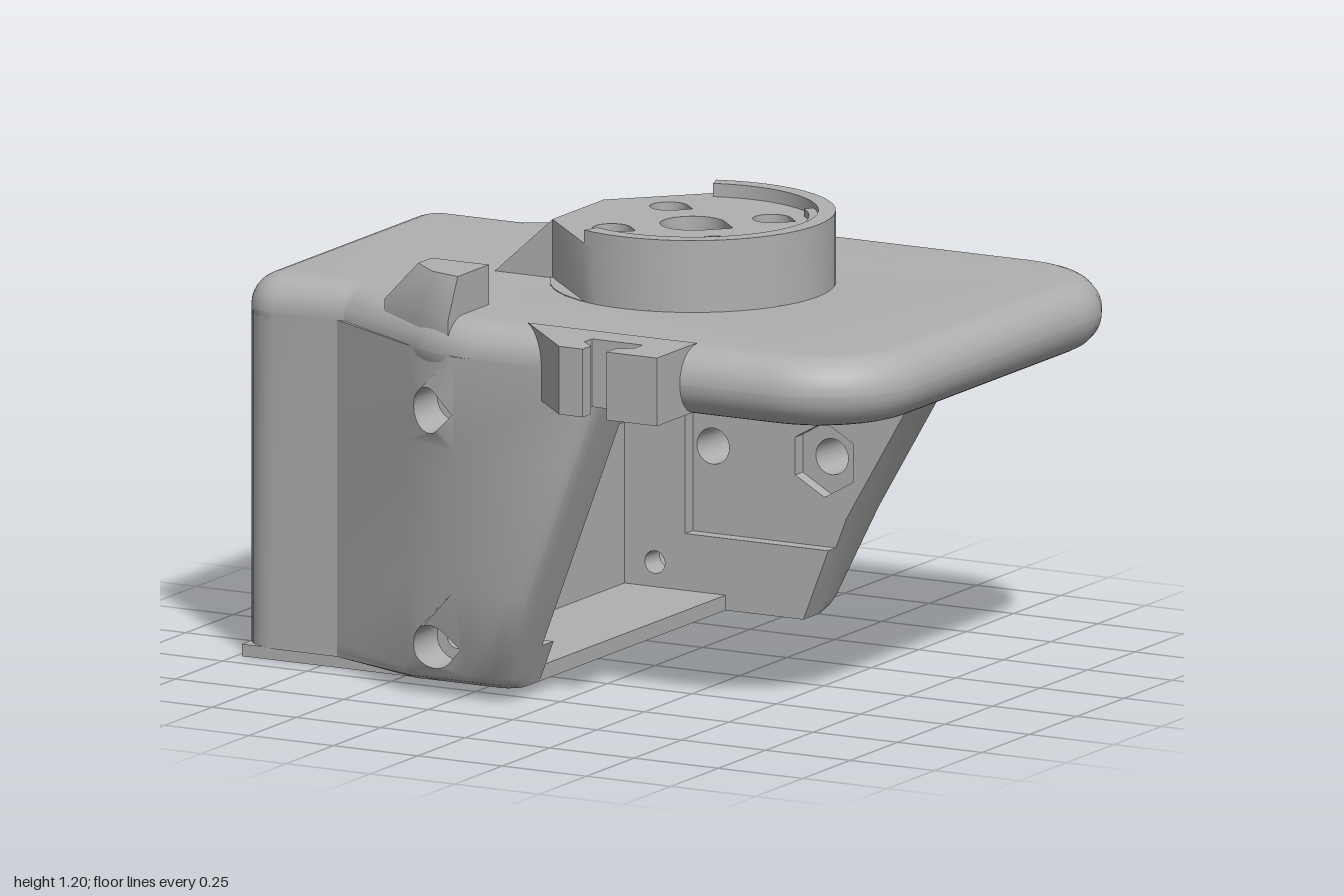
import * as THREE from 'three';
import { mergeGeometries, toCreasedNormals } from 'three/addons/utils/BufferGeometryUtils.js';
import { ConvexGeometry } from 'three/addons/geometries/ConvexGeometry.js';

const V2 = (x, y) => new THREE.Vector2(x, y);
const poly = (pts, holes = []) => {
  const s = new THREE.Shape(pts.map(p => V2(p[0], p[1])));
  s.holes.push(...holes);
  return s;
};

// Polygon whose corners [x, y, r] are rounded
function roundedPoly(pts) {
  const s = new THREE.Shape(), n = pts.length, k = 0.55;
  pts.forEach(([x, y, r], i) => {
    const c = V2(x, y);
    const toward = j => V2(pts[j % n][0], pts[j % n][1]).sub(c).normalize();
    const u = toward(i + n - 1), v = toward(i + 1);
    const at = (d, t) => c.clone().addScaledVector(d, t);
    const a = at(u, r), b = at(v, r), h1 = at(u, r * (1 - k)), h2 = at(v, r * (1 - k));
    if (i) s.lineTo(a.x, a.y); else s.moveTo(a.x, a.y);
    s.bezierCurveTo(h1.x, h1.y, h2.x, h2.y, b.x, b.y);
  });
  s.closePath();
  return s;
}

// Hole outlines
const ring = (x, y, r, n = 24) => new THREE.Path(Array.from({ length: n }, (_, i) =>
  V2(x + r * Math.cos(i / n * 2 * Math.PI + Math.PI / 6), y + r * Math.sin(i / n * 2 * Math.PI + Math.PI / 6))));
const teardrop = (x, y, r) => {
  const pts = [V2(x + r * 1.41, y)];
  for (let i = 0; i <= 18; i++) {
    const a = Math.PI * (0.25 + 1.5 * i / 18);
    pts.push(V2(x + r * Math.cos(a), y + r * Math.sin(a)));
  }
  return new THREE.Path(pts);
};

const extrude = (shape, depth, more = {}) =>
  new THREE.ExtrudeGeometry(shape, { depth, bevelEnabled: false, curveSegments: 16, ...more });

// Slab with a plan outline in (x, z), between two heights
const slab = (shape, y0, y1) => extrude(shape, y1 - y0).rotateX(Math.PI / 2).translate(0, y1, 0);

function reshape(geo, rule, flip) {
  const p = geo.attributes.position, v = new THREE.Vector3();
  for (let i = 0; i < p.count; i++) {
    rule(v.fromBufferAttribute(p, i));
    p.setXYZ(i, v.x, v.y, v.z);
  }
  if (flip) {
    const a = new THREE.Vector3();
    for (let i = 0; i < p.count; i += 3) {
      v.fromBufferAttribute(p, i + 1);
      a.fromBufferAttribute(p, i + 2);
      p.setXYZ(i + 1, a.x, a.y, a.z);
      p.setXYZ(i + 2, v.x, v.y, v.z);
    }
  }
  return geo;
}

// Flared side wall: outer skin cells plus inner layers around a recess
function sideWall({ side, z0, W, knots, recess, layers, bores, nut }) {
  const edge = y => {
    let i = 1;
    while (i < knots.length - 1 && y > knots[i][0]) i++;
    const [ya, xa] = knots[i - 1], [yb, xb] = knots[i];
    return xa + (xb - xa) * (y - ya) / (yb - ya);
  };
  const taper = y => y >= 0.3 ? 0 : y >= 0.065 ? 0.065 * (0.3 - y) / 0.235
    : 0.065 + 0.055 * ((0.065 - y) / 0.035) ** 2;
  const R = 0.05;
  const outer = (x, y) => {
    const d = Math.max(0, Math.min(R, edge(y) - x));
    const w = Math.min((x + 0.7) / 0.43 * W, W - taper(y));
    return Math.max(0, w) - (R - Math.sqrt(Math.max(0, R * R - (R - d) ** 2)));
  };
  const parts = [];
  const shell = (shape, from, to) => parts.push(reshape(extrude(shape, 1), v => {
    const b = to(v.x, v.y);
    v.z = z0 + side * (from + (b - from) * v.z);
  }, side < 0));

  // Outer skin, cell by cell
  const rows = [0.03, 0.045, 0.065, 0.3, 0.67, 0.92];
  const cols = y => [-0.7, -0.4, -0.22, ...[0.05, 0.03, 0.012, 0.003, 0].map(d => edge(y) - d)];
  const depth = layers[layers.length - 1];
  for (let r = 0; r < rows.length - 1; r++) {
    const y0 = rows[r], y1 = rows[r + 1], a = cols(y0), b = cols(y1);
    for (let c = 0; c < a.length - 1; c++) {
      const holes = [];
      if (c === 1 && r === 2) holes.push(teardrop(-0.31, 0.135, 0.06));
      if (c === 1 && r === 4) holes.push(teardrop(-0.31, 0.765, 0.06));
      if (c === 2 && r === 3) bores.forEach(x => holes.push(ring(x, 0.45, 0.048)));
      shell(poly([[a[c], y0], [a[c + 1], y0], [b[c + 1], y1], [b[c], y1]], holes),
        c === 0 ? 0 : depth, outer);
    }
  }
  // Inner layer with recess open at the sloping edge
  const screws = () => [ring(-0.31, 0.135, 0.03), ring(-0.31, 0.765, 0.03)];
  const P = y => [edge(y), y], [lo, hi] = recess;
  shell(poly([[-0.4, 0.03], P(0.03), P(lo), [-0.22, lo], [-0.22, hi], P(hi), P(0.92), [-0.4, 0.92]],
    screws()), 0, () => layers[0]);
  // Layer holding the hexagonal nut pocket
  if (nut) {
    shell(poly([[-0.4, 0.03], ...knots.map(k => [k[1], k[0]]), [-0.4, 0.92]],
      [...screws(), ring(0.17, 0.45, 0.1, 6), ring(-0.16, 0.45, 0.048)]), layers[0], () => layers[1]);
  }
  return mergeGeometries(parts);
}

export function createModel() {
  const model = new THREE.Group();
  const grey = new THREE.MeshStandardMaterial({ color: 0xb0b0b0 });
  grey.name = 'printed grey';
  const add = (name, geo) => {
    const mesh = new THREE.Mesh(toCreasedNormals(geo, 0.6), grey);
    mesh.name = name;
    model.add(mesh);
  };
  const box = (name, x0, x1, y0, y1, z0, z1) => add(name,
    new THREE.BoxGeometry(x1 - x0, y1 - y0, z1 - z0).translate((x0 + x1) / 2, (y0 + y1) / 2, (z0 + z1) / 2));

  // Top plate with a fully rounded rim
  const plan = roundedPoly([[-0.91, 0.34, 0.02], [-0.656, 0.34, 0.03], [-0.246, 0.58, 0.08], [0.91, 0.58, 0.21],
    [0.91, -0.71, 0.21], [-0.246, -0.71, 0.08], [-0.656, -0.46, 0.03], [-0.91, -0.46, 0.02]]);
  const cx = 0.075, cz = -0.065;
  plan.holes.push(ring(cx, cz, 0.36, 48));
  add('topPlate', extrude(plan, 0.001, { bevelEnabled: true, bevelSize: 0.09, bevelThickness: 0.09,
    bevelSegments: 8, curveSegments: 8 }).rotateX(Math.PI / 2).translate(0, 0.92, 0));

  // Round hub with five drilled holes
  const drilled = () => [teardrop(cx, cz, 0.085),
    ...[[-0.08, -0.215], [-0.08, 0.085], [0.225, -0.215], [0.225, 0.085]].map(([x, z]) => teardrop(x, z, 0.05))];
  const disc = new THREE.Shape().absarc(cx, cz, 0.37, 0, Math.PI * 2);
  disc.holes.push(...drilled());
  add('hubBase', slab(disc, 0.89, 1.012));
  const arc = 110 * Math.PI / 180;
  const hub = new THREE.Shape();
  hub.absarc(cx, cz, 0.37, -arc, arc);
  hub.lineTo(-0.265, 0.07);
  hub.lineTo(-0.265, -0.2);
  hub.holes.push(...drilled());
  add('hub', slab(hub, 1.01, 1.165));
  const band = (r0, r1, a0, a1, top) => {
    const s = new THREE.Shape();
    s.absarc(cx, cz, r1, a0, a1);
    s.absarc(cx, cz, r0, a1, a0, true);
    return slab(s, 1.16, top);
  };
  add('hubRim', band(0.325, 0.37, -arc, arc, 1.2));
  add('hubLip', band(0.3, 0.326, -0.8, 0.72, 1.185));
  add('hubRamp', extrude(poly([[-0.435, 1.01], [-0.264, 1.01], [-0.264, 1.165]]), 0.27).translate(0, 0, -0.2));

  // Solid rear block with a tunnel, its end corners rounded
  const xs = [-1, -0.992, -0.967, -0.93, -0.89, -0.4], R = 0.11, parts = [];
  const half = x => 0.49 - (x < -0.89 ? R - Math.sqrt(Math.max(0, R * R - (-0.89 - x) ** 2)) : 0);
  const section = poly([[-0.49, 0.03], [0.49, 0.03], [0.49, 0.92], [-0.49, 0.92]], [ring(-0.01, 0.45, 0.155, 40)]);
  for (let i = 0; i < xs.length - 1; i++) {
    const slice = extrude(section, xs[i + 1] - xs[i]).rotateY(Math.PI / 2).translate(xs[i], 0, 0);
    parts.push(reshape(slice, v => {
      if (Math.abs(v.z) > 0.3) v.z = Math.sign(v.z) * half(v.x);
      v.z -= 0.06;
    }));
  }
  add('rearBlock', mergeGeometries(parts));

  // Floor and grooved foot
  box('floor', -0.41, -0.1, 0.03, 0.07, -0.56, 0.44);
  box('footLeft', -0.985, -0.385, 0, 0.032, -0.03, 0.425);
  box('footRight', -0.985, -0.385, 0, 0.032, -0.545, -0.07);
  box('footGroove', -0.985, -0.385, 0.018, 0.032, -0.07, -0.03);

  // Side walls
  add('frontWall', sideWall({ side: 1, z0: 0.43, W: 0.24, knots: [[0.03, -0.1], [0.92, 0.234]],
    recess: [0.14, 0.75], layers: [0.06], bores: [] }));
  add('backWall', sideWall({ side: -1, z0: -0.55, W: 0.25,
    knots: [[0.03, 0.13], [0.3, 0.235], [0.67, 0.45], [0.92, 0.59]],
    recess: [0.22, 0.67], layers: [0.04, 0.08], bores: [-0.16, 0.17], nut: true }));

  // Cable clip with keyhole slot on the front rim
  add('cableClip', slab(poly([[-0.05, 0.58], [0.16, 0.79], [0.23, 0.79], [0.23, 0.745], [0.19, 0.71], [0.19, 0.67],
    [0.34, 0.67], [0.34, 0.71], [0.3, 0.745], [0.3, 0.79], [0.45, 0.79], [0.45, 0.58]]), 0.832, 1.012));

  // Raised stop on the front shoulder
  const stop = [[[-0.42, 0.43], [-0.25, 0.43], [-0.25, 0.595], [-0.34, 0.57], [-0.42, 0.5]],
    [[-0.52, 0.43], [-0.25, 0.43], [-0.25, 0.645], [-0.36, 0.6], [-0.52, 0.5]]];
  const corners = stop.flatMap((loop, i) => loop.map(([x, z]) => new THREE.Vector3(x, i ? 1.01 : 1.115, z)));
  corners.push(...stop[1].map(([x, z]) => new THREE.Vector3(x, 0.93, z)));
  add('shoulderStop', new ConvexGeometry(corners));

  return model;
}
